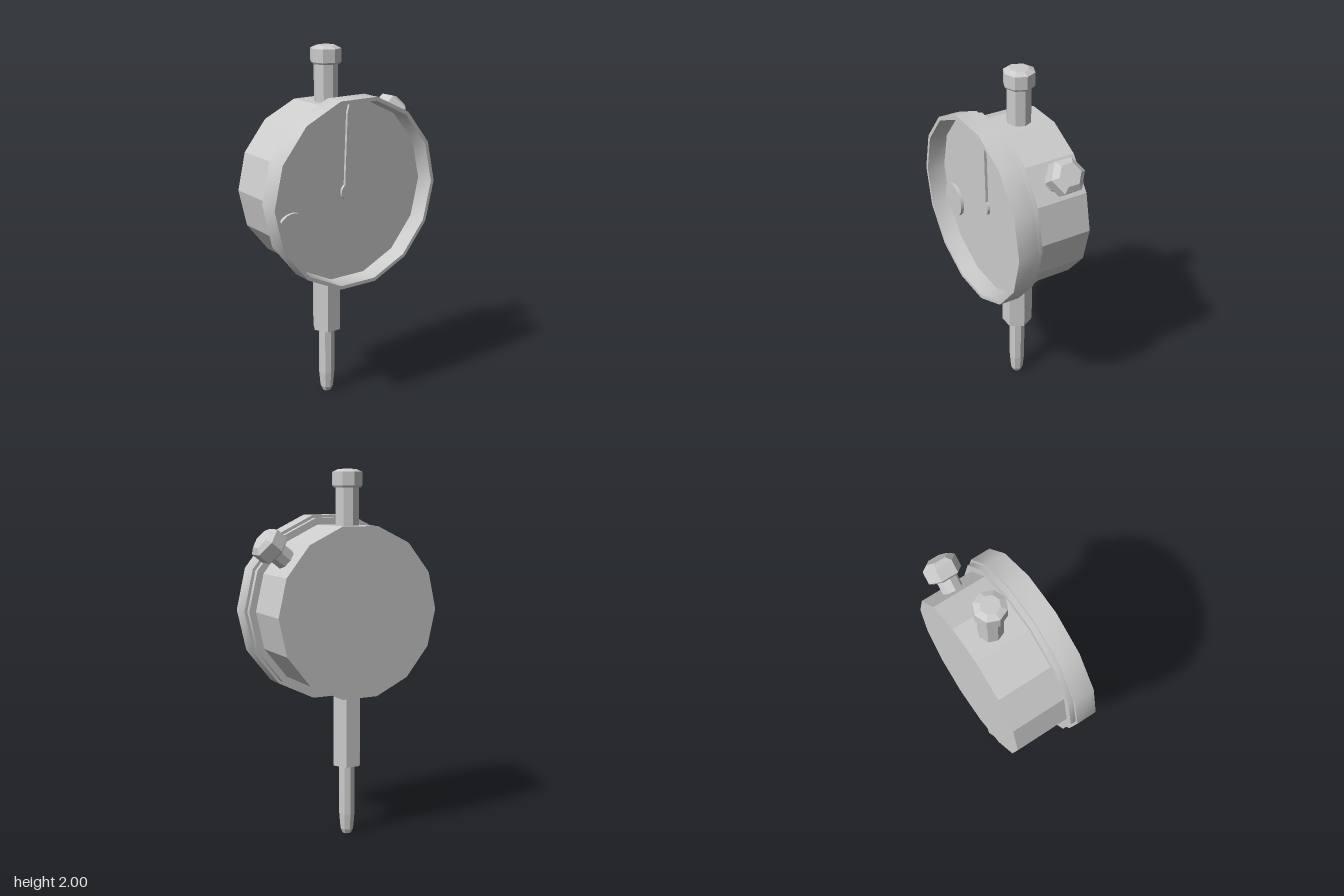
import * as THREE from 'three';
import { toCreasedNormals } from 'three/addons/utils/BufferGeometryUtils.js';

const CX = -0.007, CY = 1.253, STEM_Z = -0.072;

export function createModel() {
  const model = new THREE.Group();
  const flat = new THREE.MeshStandardMaterial({ color: 0xcccccc, flatShading: true });
  const smooth = new THREE.MeshStandardMaterial({ color: 0xcccccc });

  const add = (name, geometry, material, x, y, z) => {
    const mesh = new THREE.Mesh(geometry, material);
    mesh.name = name;
    mesh.position.set(x, y, z);
    model.add(mesh);
    return mesh;
  };

  // Solid of revolution from [radius, height] pairs; start turns the first corner
  const turned = (profile, sides, start = 0) =>
    new THREE.LatheGeometry(profile.map(([r, h]) => new THREE.Vector2(r, h)), sides, start);

  // 14-sided dial part with its axis along z
  const dialPart = (name, profile, soft) => {
    let g = turned(profile, 14, Math.PI / 2).rotateX(Math.PI / 2);
    if (soft) g = toCreasedNormals(g, 0.5);
    add(name, g, soft ? smooth : flat, CX, CY, 0);
  };

  // Case: back body, stepped ring and bezel with recessed face
  dialPart('caseBody', [[0, -0.222], [0.465, -0.222], [0.465, 0.085]], false);
  dialPart('caseRing', [[0.44, 0.08], [0.502, 0.08], [0.502, 0.112]], true);
  dialPart('bezel', [[0.48, 0.11], [0.518, 0.11], [0.518, 0.224], [0.498, 0.224],
    [0.49, 0.125], [0, 0.125]], true);

  // Small counter disc on the face
  const counter = new THREE.CylinderGeometry(0.095, 0.095, 0.02, 32).rotateX(Math.PI / 2);
  add('counterDial', toCreasedNormals(counter, 0.5), smooth, -0.36, 1.1, 0.133);

  // Needle: round hub running into a tapered pointer
  const needle = new THREE.Shape();
  needle.absarc(0, 0, 0.047, Math.PI / 2 + 0.58, Math.PI / 2 - 0.58 + Math.PI * 2, false);
  needle.lineTo(0.012, 0.42);
  needle.lineTo(0, 0.47);
  needle.lineTo(-0.012, 0.42);
  needle.closePath();
  const needleGeo = new THREE.ExtrudeGeometry(needle, { depth: 0.016, bevelEnabled: false, curveSegments: 20 });
  add('needle', needleGeo, smooth, CX, CY, 0.124);

  // Top stem and cap
  add('topStem', turned([[0.065, 1.68], [0.065, 1.91]], 8), flat, CX, 0, STEM_Z);
  add('topCap', turned([[0, 1.905], [0.076, 1.905], [0.083, 1.915], [0.083, 1.985],
    [0.05, 2], [0, 2]], 8), flat, CX, 0, STEM_Z);

  // Lower stem and plunger with rounded tip
  const sleeve = turned([[0, 0.4], [0.082, 0.4], [0.082, 0.82]], 6, Math.PI / 2);
  sleeve.scale(1, 1, 1.05);
  add('lowerStem', sleeve, flat, CX, 0, STEM_Z);
  add('plunger', turned([[0, 0], [0.025, 0.004], [0.037, 0.03], [0.045, 0.12], [0.045, 0.41]], 8),
    flat, CX, 0, STEM_Z);

  // Clamp screw standing out of the upper left facet of the case
  const tilt = -Math.PI / 2 + Math.PI * 3 / 14;
  const neck = turned([[0.057, 0.43], [0.057, 0.54]], 8);
  const head = turned([[0, 0.525], [0.08, 0.525], [0.095, 0.535], [0.095, 0.605],
    [0.062, 0.628], [0, 0.628]], 6);
  add('clampNeck', neck, flat, CX, CY, STEM_Z).rotation.z = tilt;
  add('clampKnob', head, flat, CX, CY, STEM_Z).rotation.z = tilt;

  return model;
}
